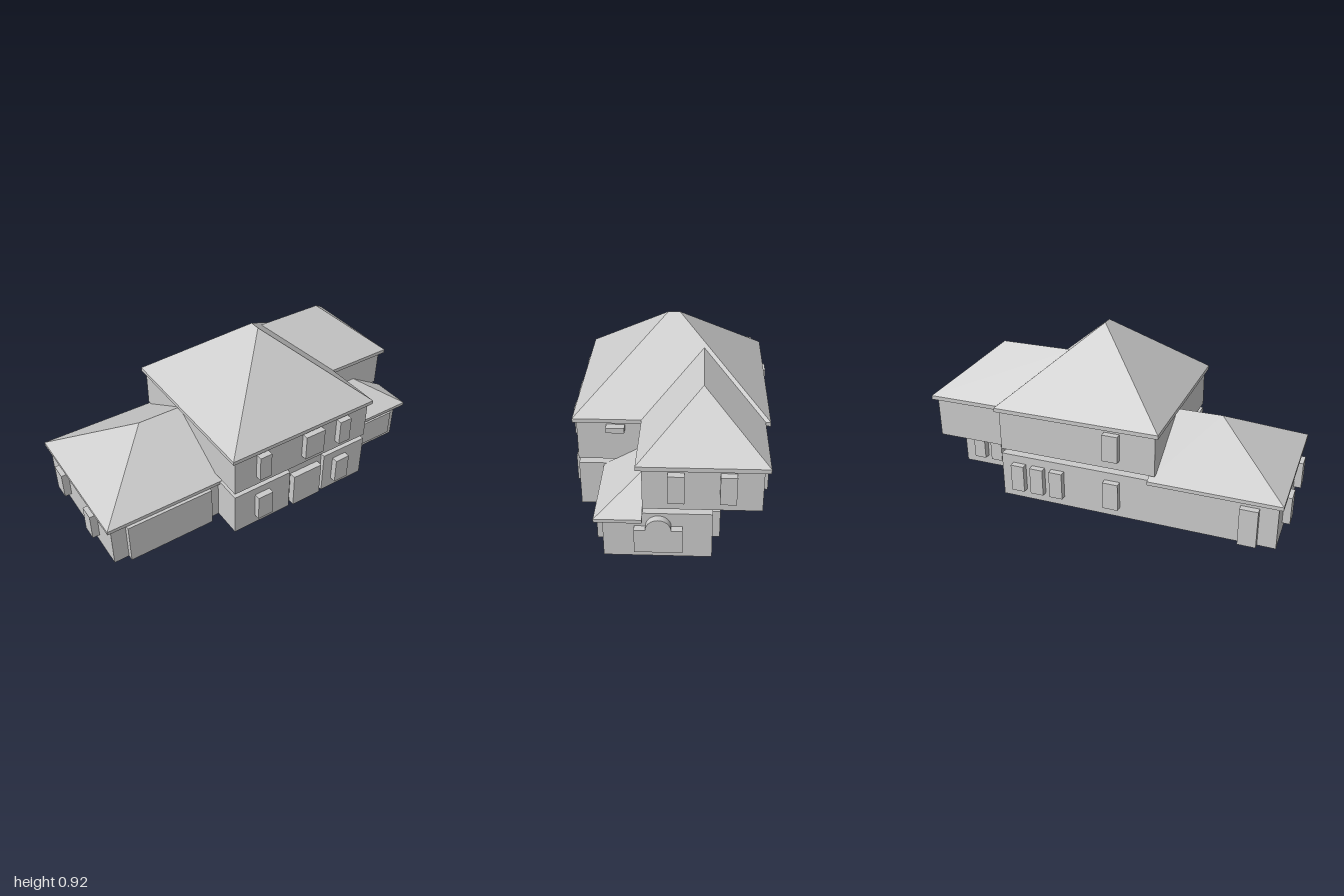
import * as THREE from 'three';

const material = new THREE.MeshStandardMaterial({ color: 0xcccccc, flatShading: true, side: THREE.DoubleSide });

function add(parent, name, geometry) {
  const mesh = new THREE.Mesh(geometry, material);
  mesh.name = name;
  parent.add(mesh);
  return mesh;
}

// Box given by its limits on each axis
function block(parent, name, [x0, x1], [y0, y1], [z0, z1]) {
  const g = new THREE.BoxGeometry(x1 - x0, y1 - y0, z1 - z0);
  g.translate((x0 + x1) / 2, (y0 + y1) / 2, (z0 + z1) / 2);
  return add(parent, name, g);
}

// Hip roof on a rectangular eave band. Ridge runs p to q: along x (left to right) or along z (front to back).
function hipRoof(parent, name, { x, z, y, p, q, alongZ = false, openEnd = false }) {
  const ring = (h) => [[x[0], h, z[1]], [x[1], h, z[1]], [x[1], h, z[0]], [x[0], h, z[0]]];
  const low = ring(y[0]), top = ring(y[1]);
  const [a, b, c, d] = top;
  const faces = alongZ
    ? [[a, b, p], [b, c, q, p], [c, d, q], [d, a, p, q]]
    : [[a, b, q, p], [b, c, q], [c, d, p, q], [d, a, p]];
  for (let i = 0; i < 4; i++) {
    const j = (i + 1) % 4;
    faces.push([low[i], low[j], top[j], top[i]]);
  }
  faces.push([low[0], low[3], low[2], low[1]]);
  const kept = openEnd ? faces.filter((f, i) => i !== 1 && i !== 5) : faces;
  const pos = [];
  for (const f of kept) {
    for (let i = 1; i < f.length - 1; i++) pos.push(...f[0], ...f[i], ...f[i + 1]);
  }
  const g = new THREE.BufferGeometry();
  g.setAttribute('position', new THREE.Float32BufferAttribute(pos, 3));
  g.computeVertexNormals();
  return add(parent, name, g);
}

export function createModel() {
  const house = new THREE.Group();
  house.name = 'house';

  // Ground floor: one footprint with the entrance recess, garage wing and side room
  const plan = [
    [-0.96, 0.31], [-0.32, 0.31], [-0.32, 0.475], [0.04, 0.475], [0.04, 0.45], [0.275, 0.45],
    [0.275, 0.475], [0.56, 0.475], [0.56, 0.31], [0.96, 0.31], [0.96, -0.21], [0.56, -0.21],
    [0.56, -0.475], [-0.96, -0.475],
  ];
  const footprint = new THREE.Shape(plan.map(([x, z]) => new THREE.Vector2(x, -z)));
  const ground = new THREE.ExtrudeGeometry(footprint, { depth: 0.255, bevelEnabled: false });
  add(house, 'groundFloorWalls', ground.rotateX(-Math.PI / 2));

  // Upper floor, held just above the ground floor
  block(house, 'upperMainWalls', [-0.32, 0.56], [0.283, 0.51], [-0.475, 0.475]);
  block(house, 'upperSideWalls', [0.555, 0.96], [0.283, 0.51], [-0.44, 0.12]);

  // Roofs
  hipRoof(house, 'mainRoof', {
    x: [-0.34, 0.58], z: [-0.493, 0.493], y: [0.508, 0.53],
    p: [0.12, 0.917, 0.03], q: [0.12, 0.917, -0.03], alongZ: true,
  });
  hipRoof(house, 'sideRoof', {
    x: [0.56, 0.98], z: [-0.467, 0.147], y: [0.508, 0.53],
    p: [0.262, 0.785, -0.16], q: [0.675, 0.785, -0.16],
  });
  hipRoof(house, 'garageRoof', {
    x: [-0.983, -0.285], z: [-0.493, 0.327], y: [0.237, 0.257],
    p: [-0.57, 0.495, -0.085], q: [-0.285, 0.495, -0.085], openEnd: true,
  });
  hipRoof(house, 'lowSideRoof', {
    x: [0.555, 1.0], z: [0.12, 0.347], y: [0.226, 0.245],
    p: [0.555, 0.377, 0.12], q: [0.775, 0.377, 0.12],
  });

  // Front doors and windows
  const lowY = [0.057, 0.21], highY = [0.34, 0.49];
  block(house, 'garageDoor', [-0.877, -0.38], [0, 0.235], [0.3, 0.343]);
  block(house, 'frontDoor', [0.062, 0.248], [0.008, 0.215], [0.44, 0.488]);
  for (const x of [[-0.19, -0.097], [0.34, 0.43]]) block(house, 'frontLowerWindow', x, lowY, [0.465, 0.51]);
  for (const x of [[-0.185, -0.113], [0.112, 0.236], [0.342, 0.417]]) {
    block(house, 'frontUpperWindow', x, highY, [0.465, 0.51]);
  }
  block(house, 'sideRoomFrontWindow', [0.593, 0.9], [0.055, 0.21], [0.3, 0.345]);

  // Back door and windows
  block(house, 'backDoor', [-0.865, -0.77], [0.005, 0.213], [-0.51, -0.465]);
  for (const y of [lowY, highY]) block(house, 'backWindow', [-0.13, -0.045], y, [-0.51, -0.465]);
  for (const x0 of [0.19, 0.303, 0.416]) {
    block(house, 'backLowerWindow', [x0, x0 + 0.075], lowY, [-0.51, -0.465]);
  }
  for (const x0 of [0.59, 0.7, 0.81]) {
    block(house, 'sideRoomBackWindow', [x0, x0 + 0.07], lowY, [-0.248, -0.2]);
  }

  // Left-wing end windows and right-hand windows
  for (const z of [[-0.32, -0.227], [0.057, 0.142]]) block(house, 'garageEndWindow', [-1, -0.95], lowY, z);
  for (const z of [[-0.077, 0], [-0.317, -0.24]]) block(house, 'sideUpperWindow', [0.95, 0.995], highY, z);
  block(house, 'smallHighWindow', [0.55, 0.6], [0.462, 0.49], [0.232, 0.325]);

  // Arched window: wide base with a round head
  const arch = new THREE.Shape();
  arch.moveTo(-0.16, 0.05);
  arch.lineTo(0.07, 0.05);
  arch.lineTo(0.07, 0.18);
  arch.lineTo(0.018, 0.18);
  arch.absarc(-0.045, 0.18, 0.061, 0, Math.PI, false);
  arch.lineTo(-0.16, 0.18);
  arch.closePath();
  const archGeometry = new THREE.ExtrudeGeometry(arch, { depth: 0.045, bevelEnabled: false, curveSegments: 16 });
  archGeometry.rotateY(Math.PI / 2).translate(0.95, 0, 0);
  add(house, 'archedWindow', archGeometry);

  return house;
}
